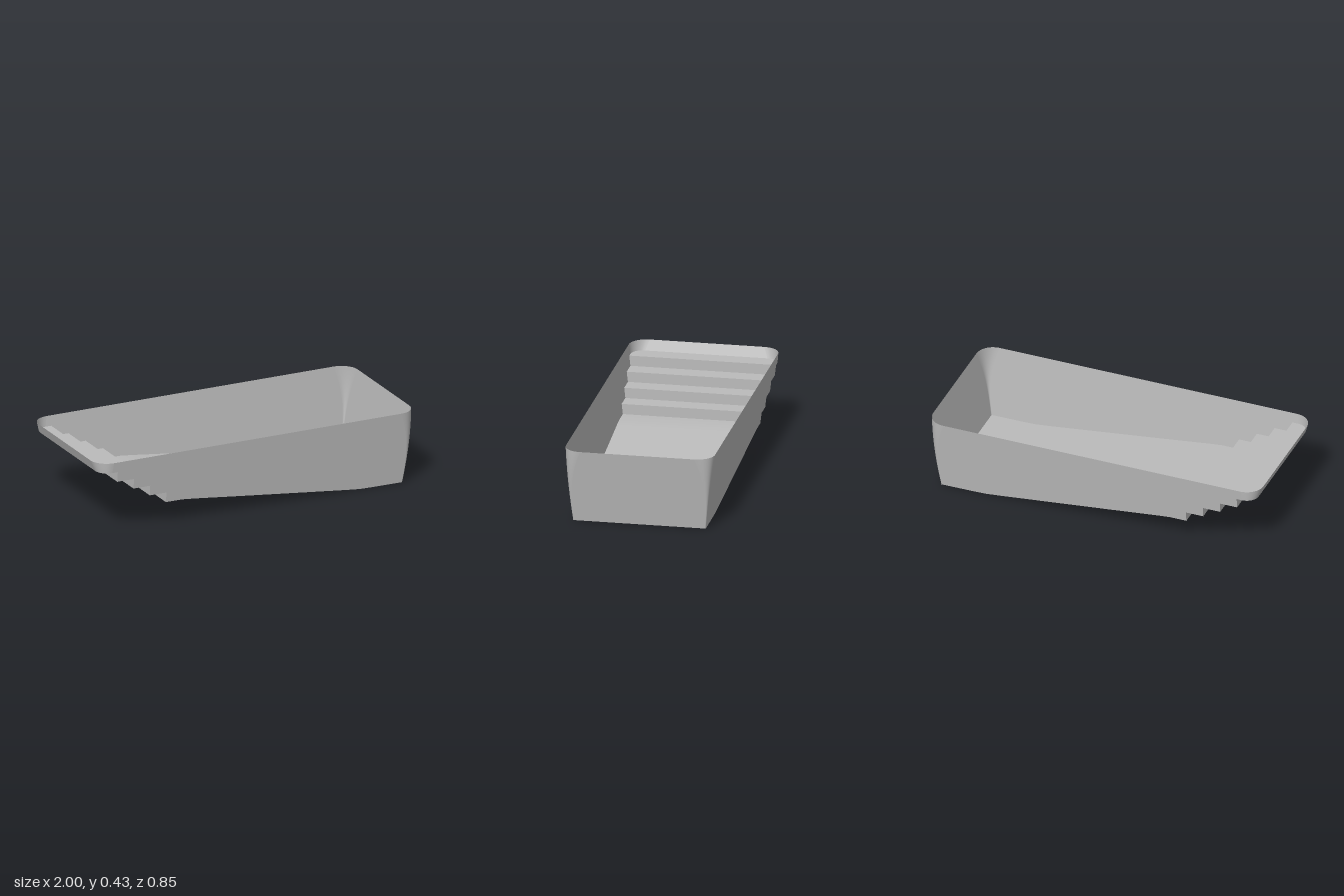
import * as THREE from 'three';

const TOP = 0.43, LEDGE = 0.37;

// Tapering plan: half width, end position and corner radius at height y
const halfZ = y => 0.38 + 0.047 * y / TOP;
const radius = y => 0.005 + 0.095 * Math.pow(y / TOP, 2.4);
const endX = (side, y) => side > 0 ? 0.93 + 0.07 * y / TOP : -1 + (TOP - y) / 3;

// Smooth surface through rows of [x, y, z] points
function surface(rows) {
  const n = rows[0].length, index = [];
  for (let i = 0; i < rows.length - 1; i++) {
    for (let j = 0; j < n - 1; j++) {
      const a = i * n + j, b = a + n;
      index.push(a, b, a + 1, b, b + 1, a + 1);
    }
  }
  const g = new THREE.BufferGeometry();
  g.setAttribute('position', new THREE.Float32BufferAttribute(rows.flat(2), 3));
  g.setIndex(index);
  g.computeVertexNormals();
  return g;
}

// Heights from the rim down to the foot of one end wall
function heights(side) {
  const bottom = side > 0 ? 0 : LEDGE, n = side > 0 ? 20 : 6;
  return Array.from({ length: n + 1 }, (_, i) => TOP + (bottom - TOP) * i / n);
}

// Points of a rounded corner at height y, from the end wall round to the side wall
function cornerArc(sx, sz, y, n = 10) {
  const r = radius(y);
  return Array.from({ length: n + 1 }, (_, i) => {
    const a = i / n * Math.PI / 2;
    return [endX(sx, y) - sx * r * (1 - Math.cos(a)), y, sz * (halfZ(y) - r * (1 - Math.sin(a)))];
  });
}

export function createModel() {
  const group = new THREE.Group();
  const shell = new THREE.MeshStandardMaterial({ color: 0xbbbbbb, side: THREE.DoubleSide });
  shell.name = 'shellGrey';
  const add = (name, geometry) => {
    const mesh = new THREE.Mesh(geometry, shell);
    mesh.name = name;
    group.add(mesh);
  };
  const across = ([x, y]) => [[x, y, halfZ(y)], [x, y, -halfZ(y)]];

  // Lengthwise profiles: stairs, then the floor sloping to the deep end
  const stairs = [[-0.875, LEDGE]];
  for (let i = 0; i < 4; i++) {
    const x = -0.875 + i * 0.105, y = LEDGE - (i + 1) * 0.06;
    stairs.push([x, y], [x + 0.105, y]);
  }
  stairs.pop();
  const floor = [[-0.56, 0.13], [-0.46, 0.13], [-0.38, 0.122], [-0.1, 0.089],
    [0.3, 0.043], [0.58, 0.011], [0.66, 0.003], [0.74, 0.001], [0.93, 0]];

  // Top ledge with rounded corners
  const ledge = new THREE.Shape();
  const back = cornerArc(-1, -1, LEDGE), front = cornerArc(-1, 1, LEDGE);
  const outline = [[-0.875, 0, -halfZ(LEDGE)], ...back.reverse(), ...front, [-0.875, 0, halfZ(LEDGE)]];
  ledge.setFromPoints(outline.map(p => new THREE.Vector2(p[0], -p[2])));
  add('topLedge', new THREE.ShapeGeometry(ledge).rotateX(-Math.PI / 2).translate(0, LEDGE, 0));

  // Risers and treads, each flat
  for (let i = 0; i < stairs.length - 1; i++) {
    add(i % 2 ? 'stairTread' : 'stairRiser', surface([across(stairs[i]), across(stairs[i + 1])]));
  }
  add('slopingFloor', surface(floor.map(across)));

  // Long side walls, cut along the stairs and floor and leaning outwards
  const edge = side => heights(side).map(y => [endX(side, y) - side * radius(y), y]);
  const sideOutline = [...edge(-1), ...stairs, ...floor.slice(0, -1), ...edge(1).reverse()];
  for (const sz of [-1, 1]) {
    const shape = new THREE.Shape(sideOutline.map(p => new THREE.Vector2(p[0], p[1])));
    const wall = new THREE.ShapeGeometry(shape);
    const pos = wall.attributes.position;
    for (let i = 0; i < pos.count; i++) pos.setZ(i, sz * halfZ(pos.getY(i)));
    if (sz < 0) wall.setIndex(Array.from(wall.index.array).reverse());
    wall.computeVertexNormals();
    add(sz > 0 ? 'frontWall' : 'backWall', wall);
  }

  // End walls and the rounded corners that widen towards the rim
  for (const sx of [-1, 1]) {
    const rows = heights(sx).map(y => [1, -1].map(s => [endX(sx, y), y, s * sx * (halfZ(y) - radius(y))]));
    add(sx > 0 ? 'deepEndWall' : 'shallowEndWall', surface(rows));
    for (const sz of [-1, 1]) {
      const arcs = heights(sx).map(y => {
        const arc = cornerArc(sx, sz, y);
        return sx * sz > 0 ? arc.reverse() : arc;
      });
      add('roundedCorner', surface(arcs));
    }
  }
  return group;
}
